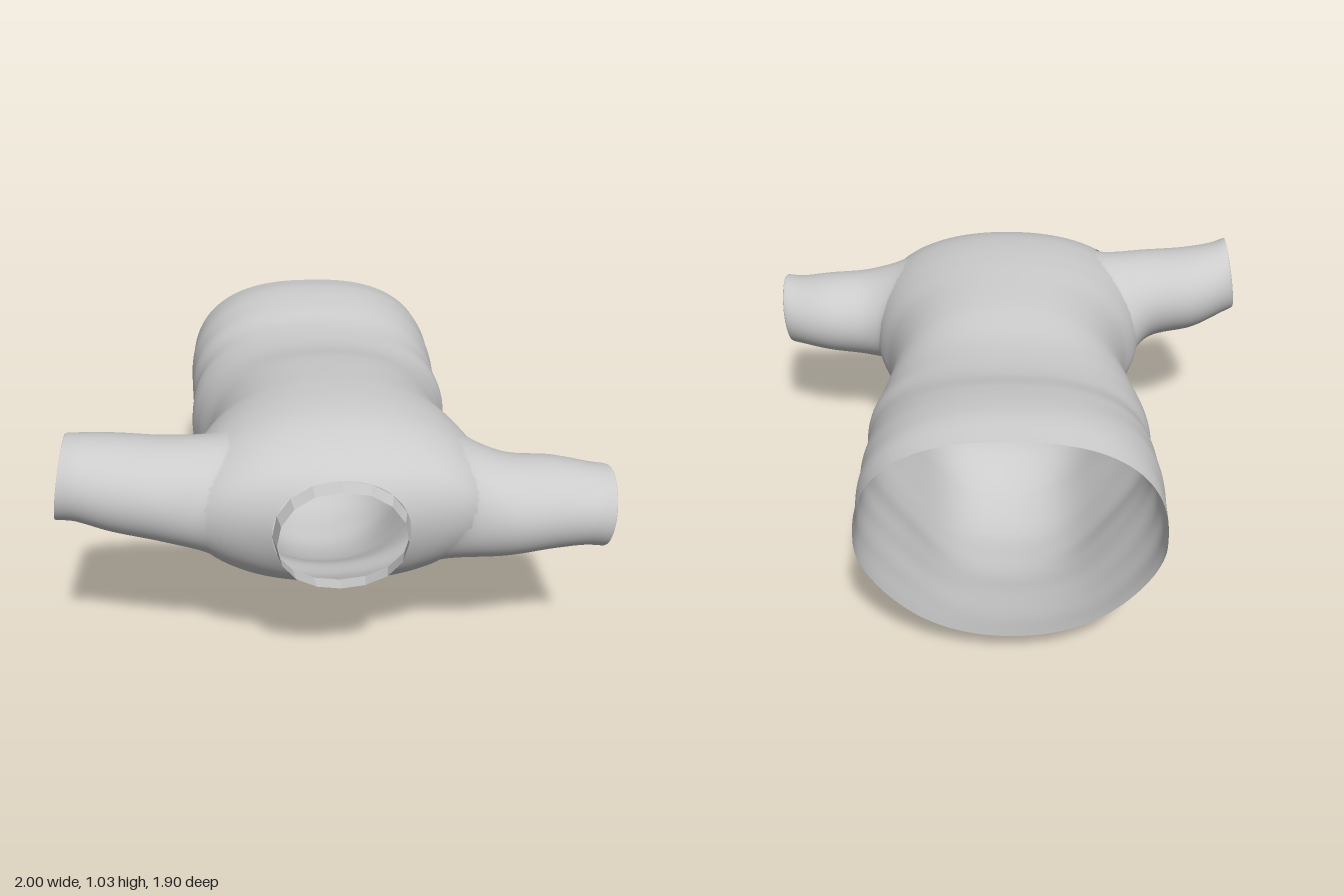
import * as THREE from 'three';

const material = new THREE.MeshStandardMaterial({ color: 0xcccccc, side: THREE.DoubleSide });

// Torso sections from hem to neck: z, then half width, top, bottom, height of widest point,
// x shift, squareness of the upper half, taper of the lower half
const sections = [
  [-0.95, 0.545, 1.00, 0.14, 0.57, -0.025, 2.5, 0.3],
  [-0.80, 0.55, 1.02, 0.09, 0.57, -0.025, 2.5, 0.5],
  [-0.60, 0.545, 1.00, 0.045, 0.56, -0.02, 2.5, 0.8],
  [-0.47, 0.537, 0.97, 0.015, 0.55, -0.015, 2.5, 0.9],
  [-0.35, 0.548, 0.96, 0.005, 0.55, -0.015, 2.4, 0.9],
  [-0.20, 0.52, 0.965, 0.005, 0.55, -0.015, 2.4, 0.9],
  [0.00, 0.48, 1.00, 0.06, 0.56, -0.005, 2.4, 0.7],
  [0.20, 0.50, 1.02, 0.16, 0.58, 0, 2.3, 0.5],
  [0.35, 0.555, 1.03, 0.20, 0.60, 0, 2.2, 0.4],
  [0.50, 0.58, 1.03, 0.27, 0.63, 0, 2.15, 0.3],
  [0.60, 0.575, 1.015, 0.32, 0.65, 0, 2.15, 0.3],
  [0.70, 0.535, 0.975, 0.37, 0.67, 0, 2.15, 0.3],
  [0.76, 0.46, 0.94, 0.41, 0.68, 0, 2.15, 0.2],
  [0.80, 0.34, 0.91, 0.435, 0.685, 0, 2.15, 0.1],
  [0.82, 0.24, 0.89, 0.45, 0.69, 0, 2.2, 0],
];
const Z0 = -0.95, Z1 = 0.82;
const spline = new THREE.CubicInterpolant(
  sections.map(s => s[0]), sections.flatMap(s => s.slice(1)), 7, new Float32Array(7));

function sectionAt(z) {
  const [w, top, bottom, mid, shift, upper, taper] = spline.evaluate(THREE.MathUtils.clamp(z, Z0, Z1));
  return { w, top, bottom, mid, shift, upper, taper };
}

// Signed height within a section: 1 at the top, -1 at the bottom
const level = (s, y) => (y - s.mid) / (y > s.mid ? s.top - s.mid : s.mid - s.bottom);

// Half width of a section at a signed height
function halfWidth(s, v) {
  const u = Math.min(1, Math.abs(v));
  return v > 0
    ? s.w * (1 - u ** s.upper) ** (1 / s.upper)
    : s.w * Math.sqrt(1 - u * u) * (1 - s.taper * u * u * (1 - u));
}

// Forward lean and bulge of the sections near the neck
function lean(z, y, s) {
  const u = Math.min(1, Math.abs(level(s, y)));
  return THREE.MathUtils.smoothstep(z, 0.45, Z1) * (0.17 * (y - s.mid) + 0.05 * (1 - u * u));
}

function torsoPoint(z, angle) {
  const s = sectionAt(z), n = Math.sin(angle);
  const v = n > 0 ? n ** (2 / s.upper) : n;
  const y = s.mid + v * (n > 0 ? s.top - s.mid : s.mid - s.bottom);
  // faint cloth folds towards the hem
  const fold = 1 + 0.003 * Math.sin(z * 38 + 2 * Math.sin(angle * 2)) * THREE.MathUtils.smoothstep(-z, 0.1, 0.4);
  return new THREE.Vector3(s.shift + Math.sign(Math.cos(angle)) * halfWidth(s, v) * fold, y, z + lean(z, y, s));
}

// Torso surface at a given height and depth, on one side
function torsoSide(side, y, z) {
  let zs = z, s = sectionAt(z);
  for (let i = 0; i < 8; i++) {
    zs = Math.min(z - lean(zs, y, s), Z1);
    s = sectionAt(zs);
  }
  const v = THREE.MathUtils.clamp(level(s, y), -0.97, 0.97);
  return new THREE.Vector3(s.shift + side * halfWidth(s, v), y, z);
}

// Closed-round loft; quads whose centre is rejected are left open
function loft(name, rows, cols, point, mat = material, keep = () => true) {
  const pos = [], index = [], pts = [];
  for (let i = 0; i <= rows; i++)
    for (let j = 0; j < cols; j++) {
      const p = point(i / rows, (j / cols) * Math.PI * 2, j);
      pts.push(p);
      pos.push(p.x, p.y, p.z);
    }
  for (let i = 0; i < rows; i++)
    for (let j = 0; j < cols; j++) {
      const k = (j + 1) % cols;
      const a = i * cols + j, b = i * cols + k, c = a + cols, d = b + cols;
      const mid = pts[a].clone().add(pts[b]).add(pts[c]).add(pts[d]).multiplyScalar(0.25);
      if (keep(mid)) index.push(a, b, c, b, d, c);
    }
  const geo = new THREE.BufferGeometry();
  geo.setAttribute('position', new THREE.Float32BufferAttribute(pos, 3));
  geo.setIndex(index);
  geo.computeVertexNormals();
  const mesh = new THREE.Mesh(geo, mat);
  mesh.name = name;
  return mesh;
}

// Sleeves: armhole ellipse, then rings of x, y, z, y radius, z radius, x tilt
const sleeves = [
  {
    name: 'leftSleeve', side: 1, hole: { y: 0.665, z: 0.58, ry: 0.23, rz: 0.22 },
    rings: [
      [0.62, 0.645, 0.600, 0.188, 0.205, 0],
      [0.80, 0.648, 0.600, 0.167, 0.190, 0],
      [0.92, 0.645, 0.615, 0.150, 0.168, 0.01],
      [0.985, 0.645, 0.635, 0.147, 0.152, 0.012],
      [0.95, 0.645, 0.630, 0.132, 0.138, 0.012],
    ],
  },
  {
    name: 'rightSleeve', side: -1, hole: { y: 0.715, z: 0.58, ry: 0.22, rz: 0.22 },
    rings: [
      [-0.62, 0.748, 0.600, 0.188, 0.205, 0.01],
      [-0.80, 0.780, 0.600, 0.172, 0.190, 0.015],
      [-0.92, 0.815, 0.620, 0.153, 0.168, 0.02],
      [-0.975, 0.830, 0.645, 0.150, 0.152, 0.025],
      [-0.94, 0.825, 0.640, 0.134, 0.138, 0.025],
    ],
  },
];

function makeSleeve({ name, side, hole, rings }) {
  const cols = 64;
  // one lengthwise curve per angle, leaving the torso surface smoothly
  const curves = Array.from({ length: cols }, (_, j) => {
    const a = (j / cols) * Math.PI * 2, c = -side * Math.cos(a), n = Math.sin(a);
    const root = [1.12, 1].map(k => torsoSide(side, hole.y + n * hole.ry * k, hole.z + c * hole.rz * k));
    const rest = rings.map(([x, y, z, ry, rz, tilt]) => new THREE.Vector3(x + tilt * n, y + ry * n, z + rz * c));
    return new THREE.CatmullRomCurve3([...root, ...rest], false, 'centripetal');
  });
  return loft(name, 48, cols, (t, a, j) => curves[j].getPoint(t));
}

export function createModel() {
  const group = new THREE.Group();
  group.name = 'shirt';

  // Torso, open at hem, neck and armholes
  const outsideArmholes = p => sleeves.every(({ side, hole }) =>
    p.x * side < 0.1 || ((p.y - hole.y) / hole.ry) ** 2 + ((p.z - hole.z) / hole.rz) ** 2 > 1.06);
  group.add(loft('torso', 140, 144, (t, a) => torsoPoint(Z0 + (Z1 - Z0) * t, a), material, outsideArmholes));

  sleeves.forEach(s => group.add(makeSleeve(s)));

  // Faceted collar band
  const flat = new THREE.MeshStandardMaterial({ color: 0xcccccc, side: THREE.DoubleSide, flatShading: true });
  group.add(loft('collar', 1, 16, (t, a) => {
    const p = torsoPoint(Z1, a);
    p.x *= 1 - 0.06 * t;
    p.y += (0.68 - p.y) * 0.03 * t;
    p.z += 0.07 * t;
    return p;
  }, flat));

  return group;
}
